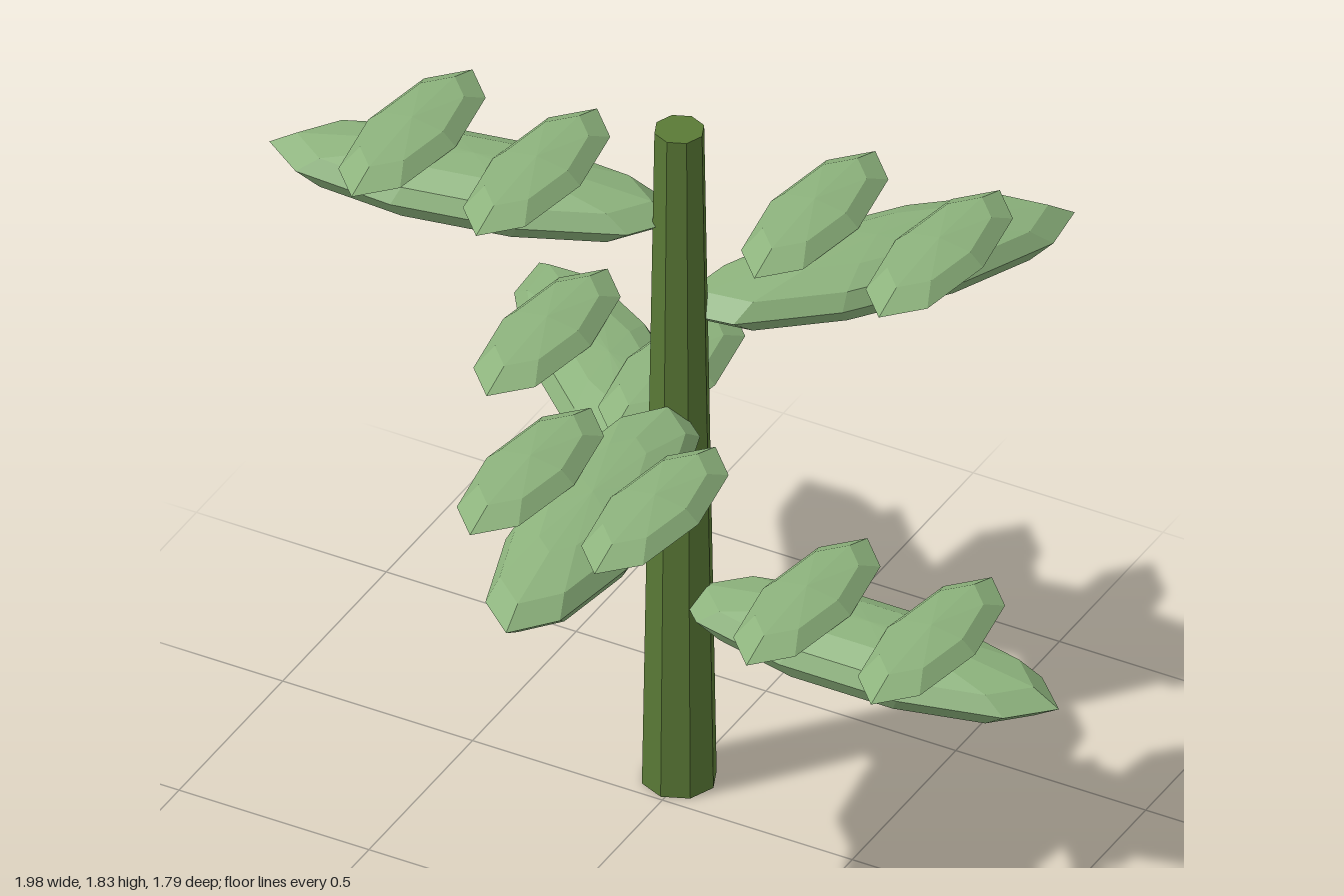
import * as THREE from 'three';

export function createModel() {
  const group = new THREE.Group();
  const stemGreen = new THREE.MeshStandardMaterial({ color: 0x5a7a36, flatShading: true });
  stemGreen.name = 'stemGreen';
  const leafGreen = new THREE.MeshStandardMaterial({ color: 0x8cb27c, flatShading: true });
  leafGreen.name = 'leafGreen';

  const add = (name, geometry, material, x, y, z) => {
    const mesh = new THREE.Mesh(geometry, material);
    mesh.name = name;
    mesh.position.set(x, y, z);
    group.add(mesh);
    return mesh;
  };

  // Tapered eight-sided stem
  const stemX = -0.01, stemZ = -0.1, height = 1.83;
  add('stem', new THREE.CylinderGeometry(0.06, 0.09, height, 8), stemGreen, stemX, height / 2, stemZ);

  // Faceted, flattened leaf shapes
  const branchGeometry = new THREE.SphereGeometry(1, 10, 6).scale(0.5, 0.08, 0.16);
  const leafletGeometry = new THREE.SphereGeometry(1, 8, 4).scale(0.115, 0.046, 0.292);

  // Five leaf branches spiral up the stem, each carrying two leaflets
  for (let i = 0; i < 5; i++) {
    const angle = i * 2.4;
    const x = stemX + 0.5 * Math.cos(angle);
    const z = stemZ - 0.5 * Math.sin(angle);
    const y = 0.528 + 0.261 * i;
    add('leafBranch' + (i + 1), branchGeometry, leafGreen, x, y, z).rotation.y = angle;
    for (const side of [-1, 1]) {
      const name = (side < 0 ? 'rightLeaflet' : 'leftLeaflet') + (i + 1);
      add(name, leafletGeometry, leafGreen, x + side * 0.164, y + 0.08, z);
    }
  }
  return group;
}
